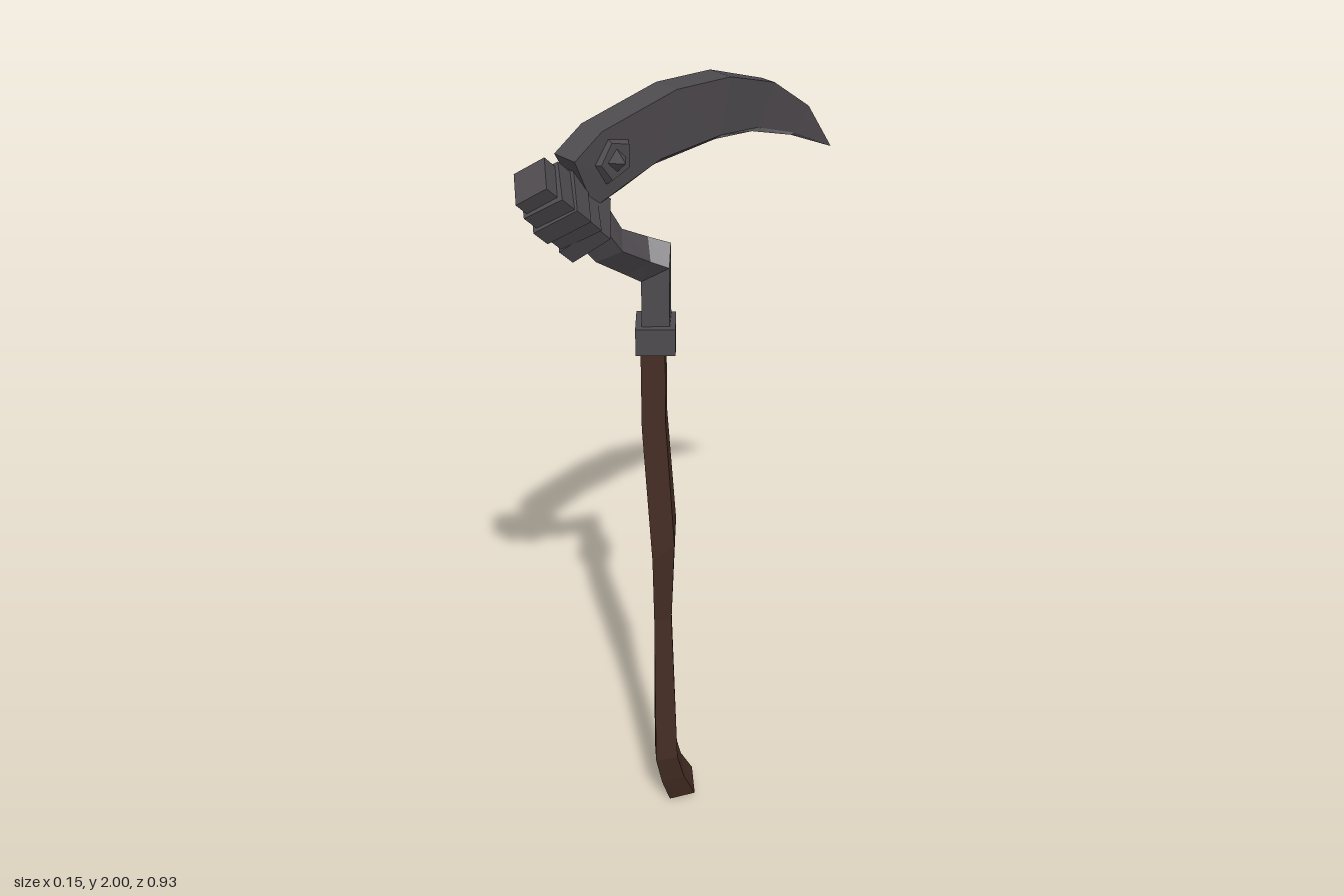
import * as THREE from 'three';

const mat = (name, color) => {
  const m = new THREE.MeshStandardMaterial({ color });
  m.name = name;
  return m;
};

// Faceted skin over equal-sized rings of points; paint(segment, side) picks the material,
// segment -1 and rings.length - 1 being the start and end caps.
function loft(name, rings, materials, paint = () => 0) {
  const pos = [];
  const geo = new THREE.BufferGeometry();
  const n = rings[0].length;
  const face = (pts, m) => {
    const start = pos.length / 3;
    for (let i = 1; i < pts.length - 1; i++) {
      for (const p of [pts[0], pts[i], pts[i + 1]]) pos.push(...p);
    }
    geo.addGroup(start, (pts.length - 2) * 3, m);
  };
  for (let s = 0; s < rings.length - 1; s++) {
    for (let i = 0; i < n; i++) {
      const j = (i + 1) % n;
      face([rings[s][i], rings[s][j], rings[s + 1][j], rings[s + 1][i]], paint(s, i));
    }
  }
  face([...rings[0]].reverse(), paint(-1, 0));
  face(rings[rings.length - 1], paint(rings.length - 1, 0));
  geo.setAttribute('position', new THREE.Float32BufferAttribute(pos, 3));
  geo.computeVertexNormals();
  const mesh = new THREE.Mesh(geo, materials);
  mesh.name = name;
  return mesh;
}

// Diamond ring from its front and back corners (z, y), half width and sideways shift
const diamond = ([fz, fy, bz, by, rx, cx = 0]) => {
  const z = (fz + bz) / 2, y = (fy + by) / 2;
  return [[cx, fy, fz], [cx + rx, y, z], [cx, by, bz], [cx - rx, y, z]];
};

export function createModel() {
  const group = new THREE.Group();
  group.name = 'scythe';
  const wood = mat('dark wood', 0x452e24);
  const steel = mat('dark steel', 0x4f4b50);
  const bright = mat('worn steel', 0x9a989a);

  // Crooked wooden shaft with a kicked-back foot
  group.add(loft('shaft', [
    [0.063, 0.005, -0.02, 0.066, 0.053, 0],
    [0.095, 0.09, 0.026, 0.15, 0.048, 0.004],
    [0.12, 0.185, 0.048, 0.22, 0.043, 0.009],
    [0.112, 0.64, 0.053, 0.65, 0.031, 0],
    [0.132, 0.84, 0.053, 0.93, 0.035, 0.018],
    [0.143, 1.21, 0.063, 1.23, 0.037, 0],
    [0.143, 1.42, 0.063, 1.42, 0.037, 0],
  ].map(diamond), [wood, steel], (s) => (s === -1 ? 1 : 0)));

  // Ferrule
  group.add(loft('ferrule', [1.405, 1.47].map((y) => diamond([0.158, y, 0.033, y, 0.063])), [steel]));

  // Bent metal neck, worn bright on top of the bend
  group.add(loft('neck', [
    [0.138, 1.45, 0.048, 1.45, 0.042],
    [0.138, 1.58, 0.048, 1.643, 0.042],
    [0.18, 1.61, 0.116, 1.68, 0.042],
    [0.265, 1.67, 0.19, 1.722, 0.042],
    [0.317, 1.733, 0.228, 1.785, 0.042],
  ].map(diamond), [steel, bright], (s, i) => (s === 1 && (i === 1 || i === 2) ? 1 : 0)));

  // Head: stacked diamond collars along a 45 degree axis
  const k = Math.SQRT1_2;
  const collar = (t, r, rx) => {
    const z = 0.429 - t * k, y = 1.9 - t * k;
    return diamond([z + r * k, y - r * k, z - r * k, y + r * k, rx]);
  };
  [
    [0, 0.045, 0.055, 0.05],
    [0.037, 0.085, 0.066, 0.065],
    [0.08, 0.13, 0.078, 0.073],
    [0.125, 0.172, 0.07, 0.07],
    [0.17, 0.22, 0.077, 0.057],
  ].forEach(([t0, t1, r, rx], i) => {
    group.add(loft(`headCollar${i + 1}`, [collar(t1, r, rx), collar(t0, r, rx)], [steel]));
  });

  // Curved blade: flat spine, tapering sides and a narrow cutting bevel
  const section = ([sz, sy, ez, ey, w]) => {
    const bz = sz + (ez - sz) * 0.9, by = sy + (ey - sy) * 0.9;
    return [[-w, sy, sz], [w, sy, sz], [w * 0.6, by, bz], [0, ey, ez], [-w * 0.6, by, bz]];
  };
  group.add(loft('blade', [
    [0.339, 1.923, 0.275, 1.791, 0.031],
    [0.265, 1.966, 0.19, 1.812, 0.031],
    [0.058, 2.0, 0.095, 1.839, 0.031],
    [-0.1, 1.987, -0.085, 1.844, 0.031],
    [-0.249, 1.934, -0.2, 1.83, 0.019],
    [-0.376, 1.844, -0.328, 1.786, 0.008],
    [-0.466, 1.722, -0.465, 1.721, 0.0003],
  ].map(section), [steel, bright], (s, i) => ((s === 3 || s === 4) && (i === 2 || i === 3) ? 1 : 0)));

  // Spiked rivets on both sides of the blade root
  for (const side of [-1, 1]) {
    const rivet = new THREE.Group();
    rivet.name = side > 0 ? 'leftRivet' : 'rightRivet';
    const plate = new THREE.Mesh(new THREE.CylinderGeometry(0.042, 0.055, 0.016, 5).toNonIndexed(), steel);
    const spike = new THREE.Mesh(new THREE.ConeGeometry(0.03, 0.032, 4).toNonIndexed(), steel);
    plate.name = 'rivetPlate';
    spike.name = 'rivetSpike';
    spike.position.y = 0.018;
    for (const m of [plate, spike]) m.geometry.computeVertexNormals();
    rivet.add(plate, spike);
    rivet.rotation.z = -side * Math.PI / 2;
    rivet.position.set(side * 0.029, 1.898, 0.232);
    group.add(rivet);
  }
  return group;
}
